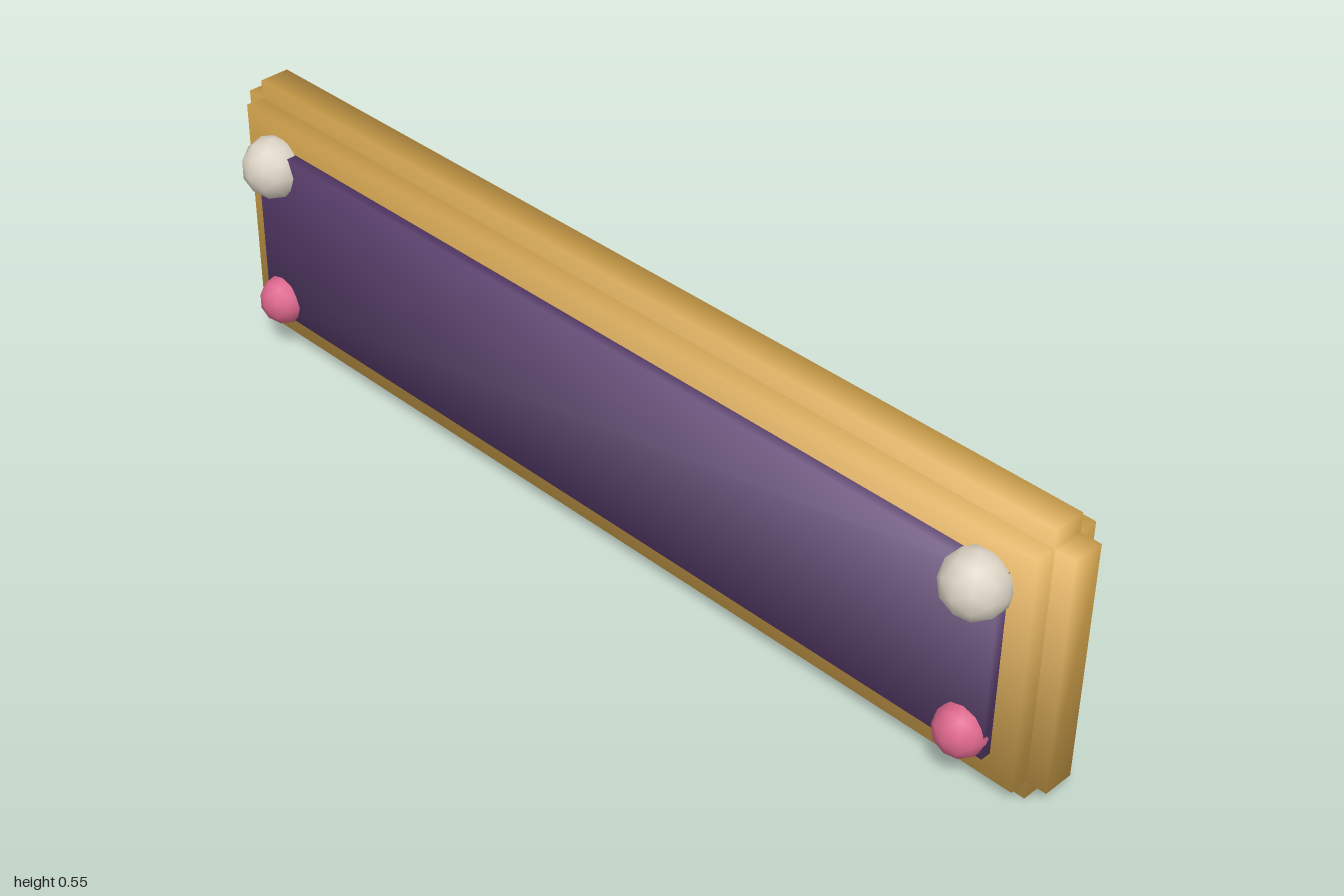
import * as THREE from 'three';

const mat = (name, color) => {
  const m = new THREE.MeshStandardMaterial({ color });
  m.name = name;
  return m;
};

// Box given by its bounds, with normals blended at the corners for a soft look
function softBox(name, material, [x0, x1], [y0, y1], [z0, z1]) {
  const g = new THREE.BoxGeometry(x1 - x0, y1 - y0, z1 - z0);
  const p = g.attributes.position, n = g.attributes.normal, v = new THREE.Vector3();
  for (let i = 0; i < p.count; i++) {
    v.set(Math.sign(p.getX(i)), Math.sign(p.getY(i)), Math.sign(p.getZ(i))).normalize();
    n.setXYZ(i, v.x, v.y, v.z);
  }
  const mesh = new THREE.Mesh(g, material);
  mesh.name = name;
  mesh.position.set((x0 + x1) / 2, (y0 + y1) / 2, (z0 + z1) / 2);
  return mesh;
}

export function createModel() {
  const gold = mat('gold', 0xdcab50);
  const purple = mat('purple', 0x5e4073);
  const ivory = mat('ivory', 0xdcd4c5);
  const pink = mat('pink', 0xdc668c);

  const model = new THREE.Group();
  model.name = 'plaque';

  // Board with stepped edges: slab, tall rim and wide rim
  const board = new THREE.Group();
  board.name = 'board';
  board.add(
    softBox('slab', gold, [-0.96, 0.96], [0.038, 0.515], [-0.109, 0.029]),
    softBox('tallRim', gold, [-0.96, 0.96], [0, 0.553], [-0.071, -0.009]),
    softBox('wideRim', gold, [-1, 1], [0.038, 0.515], [-0.071, -0.009])
  );
  model.add(board);

  // Raised panel on the front
  model.add(softBox('panel', purple, [-0.91, 0.91], [0.09, 0.463], [0.01, 0.05]));

  // Corner studs
  const stud = (name, material, r, x, y) => {
    const mesh = new THREE.Mesh(new THREE.IcosahedronGeometry(r, 1), material);
    mesh.name = name;
    mesh.position.set(x, y, 0.048);
    model.add(mesh);
  };
  for (const [side, s] of [['left', 1], ['right', -1]]) {
    stud(side + 'UpperStud', ivory, 0.062, s * 0.864, 0.427);
    stud(side + 'LowerStud', pink, 0.0495, s * 0.864, 0.126);
  }
  return model;
}
